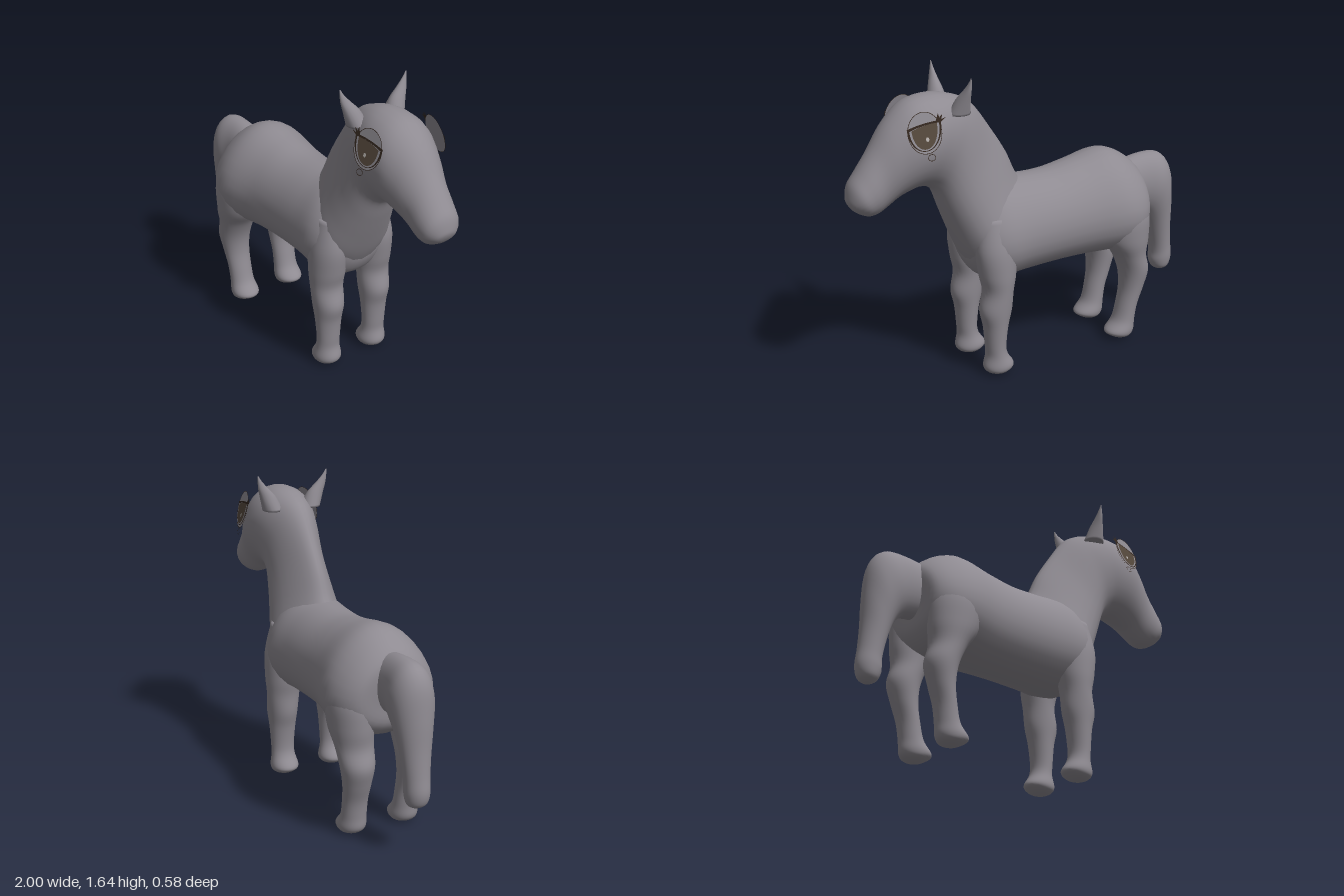
import * as THREE from 'three';

const mat = (name, color) => {
  const m = new THREE.MeshStandardMaterial({ color, side: THREE.DoubleSide });
  m.name = name;
  return m;
};

// Catmull-Rom blend of four numbers
const blend = (a, b, c, d, t) =>
  0.5 * (2 * b + (c - a) * t + (2 * a - 5 * b + 4 * c - d) * t * t + (3 * b - a - 3 * c + d) * t * t * t);

// Smooth closed skin through oval sections.
// Section: [x0, y0, x1, y1, half width, centre z, narrowing toward (x0, y0)]
function loft(sections, steps = 5, sides = 28) {
  const full = sections.map(s => [...s, 0, 0].slice(0, 7));
  const rows = [];
  const at = i => full[Math.max(0, Math.min(full.length - 1, i))];
  for (let i = 0; i < full.length - 1; i++) {
    for (let k = 0; k < steps; k++) {
      rows.push(full[i].map((v, n) => blend(at(i - 1)[n], v, at(i + 1)[n], at(i + 2)[n], k / steps)));
    }
  }
  rows.push(at(full.length - 1));
  const pos = [], index = [];
  for (const [x0, y0, x1, y1, w, z, k] of rows) {
    for (let j = 0; j < sides; j++) {
      const a = (j / sides) * Math.PI * 2, c = Math.cos(a);
      pos.push((x0 + x1) / 2 + c * (x0 - x1) / 2, (y0 + y1) / 2 + c * (y0 - y1) / 2,
        z + Math.sin(a) * w * (1 - k * c));
    }
  }
  const last = rows.length - 1;
  for (const r of [rows[0], rows[last]]) pos.push((r[0] + r[2]) / 2, (r[1] + r[3]) / 2, r[5]);
  const startCap = rows.length * sides, endCap = startCap + 1;
  for (let j = 0; j < sides; j++) {
    const n = (j + 1) % sides;
    for (let i = 0; i < last; i++) {
      const a = i * sides + j, b = i * sides + n;
      index.push(a, b, a + sides, b, b + sides, a + sides);
    }
    index.push(startCap, n, j, endCap, last * sides + j, last * sides + n);
  }
  const g = new THREE.BufferGeometry();
  g.setAttribute('position', new THREE.Float32BufferAttribute(pos, 3));
  g.setIndex(index);
  g.computeVertexNormals();
  return g;
}

export function createModel() {
  const model = new THREE.Group();
  const skin = mat('grey coat', 0x8f8b92);
  const iris = mat('brown iris', 0x55483c);
  const dark = mat('dark outline', 0x33271f);
  const shine = mat('eye shine', 0xb5b0ac);

  const add = (name, geometry, material = skin, parent = model) => {
    const mesh = new THREE.Mesh(geometry, material);
    mesh.name = name;
    parent.add(mesh);
    return mesh;
  };

  // Trunk, rump to chest
  add('body', loft([
    [-0.715, 0.88, -0.70, 0.70, 0.10],
    [-0.70, 0.96, -0.69, 0.61, 0.20, 0, 0.15],
    [-0.62, 1.035, -0.62, 0.54, 0.265, 0, 0.2],
    [-0.50, 1.08, -0.50, 0.515, 0.285, 0, 0.2],
    [-0.32, 1.05, -0.32, 0.515, 0.25, 0, 0.12],
    [-0.15, 1.025, -0.15, 0.515, 0.238, 0, 0.08],
    [0.05, 1.03, 0.05, 0.51, 0.238, 0, 0.1],
    [0.20, 1.04, 0.20, 0.505, 0.245, 0, 0.15],
    [0.30, 0.98, 0.29, 0.53, 0.215, 0, 0.1],
    [0.36, 0.88, 0.34, 0.60, 0.15],
    [0.38, 0.79, 0.36, 0.68, 0.06],
  ]));

  // Neck, head and muzzle in one sweep
  add('neckAndHead', loft([
    [-0.02, 0.95, 0.32, 0.58, 0.19, 0, 0.3],
    [0.05, 1.05, 0.38, 0.68, 0.19, 0, 0.4],
    [0.11, 1.18, 0.44, 0.81, 0.165, 0, 0.42],
    [0.20, 1.32, 0.49, 0.93, 0.148, 0, 0.35],
    [0.31, 1.465, 0.53, 1.03, 0.15, 0, 0.15],
    [0.42, 1.525, 0.575, 1.07, 0.165, 0, 0],
    [0.54, 1.547, 0.63, 1.08, 0.178, 0, -0.05],
    [0.67, 1.525, 0.69, 1.068, 0.172, 0, -0.05],
    [0.78, 1.435, 0.75, 1.045, 0.145],
    [0.87, 1.31, 0.80, 1.012, 0.12],
    [0.94, 1.215, 0.855, 0.985, 0.113],
    [0.985, 1.15, 0.91, 0.982, 0.10],
    [1.0, 1.085, 0.965, 1.01, 0.058],
    [0.997, 1.058, 0.99, 1.042, 0.012],
  ]));

  // Tail, arching back then hanging down
  add('tail', loft([
    [-0.64, 0.68, -0.64, 0.98, 0.10],
    [-0.745, 0.67, -0.77, 0.998, 0.10],
    [-0.79, 0.645, -0.89, 0.985, 0.115],
    [-0.825, 0.59, -0.955, 0.90, 0.108],
    [-0.848, 0.52, -0.975, 0.74, 0.09],
    [-0.866, 0.44, -0.98, 0.58, 0.075],
    [-0.872, 0.385, -0.99, 0.45, 0.067],
    [-0.87, 0.335, -1.0, 0.36, 0.065],
    [-0.888, 0.292, -0.985, 0.30, 0.052],
    [-0.92, 0.272, -0.95, 0.274, 0.018],
  ]));

  for (const s of [1, -1]) {
    const side = s > 0 ? 'left' : 'right';
    const mirror = rows => rows.map(r => [r[0], r[1], r[2], r[1], r[3], r[4] * s]);

    // Legs, as rows of [front x, y, back x, half width, centre z]
    // Here the mirrored sides follow world z
    add(side + 'FrontLeg', loft(mirror([
      [0.33, 0.88, 0.17, 0.06, 0.14],
      [0.36, 0.72, 0.14, 0.095, 0.145],
      [0.345, 0.58, 0.145, 0.098, 0.148],
      [0.325, 0.48, 0.163, 0.09, 0.15],
      [0.345, 0.375, 0.17, 0.083, 0.15],
      [0.325, 0.28, 0.193, 0.073, 0.15],
      [0.315, 0.17, 0.205, 0.065, 0.15],
      [0.312, 0.11, 0.195, 0.066, 0.15],
      [0.325, 0.05, 0.158, 0.076, 0.148],
      [0.31, 0.02, 0.185, 0.062, 0.148],
      [0.27, 0.002, 0.225, 0.02, 0.148],
    ])));
    add(side + 'BackLeg', loft(mirror([
      [-0.46, 0.92, -0.62, 0.06, 0.15],
      [-0.41, 0.76, -0.69, 0.115, 0.165],
      [-0.43, 0.61, -0.695, 0.115, 0.165],
      [-0.50, 0.50, -0.685, 0.10, 0.16],
      [-0.54, 0.40, -0.708, 0.09, 0.158],
      [-0.55, 0.30, -0.682, 0.076, 0.155],
      [-0.535, 0.20, -0.648, 0.068, 0.152],
      [-0.51, 0.11, -0.634, 0.068, 0.15],
      [-0.46, 0.05, -0.63, 0.076, 0.15],
      [-0.49, 0.02, -0.61, 0.062, 0.15],
      [-0.53, 0.002, -0.57, 0.02, 0.15],
    ])));

    // Pointed ears leaning outward
    add(side + 'Ear', loft(mirror([
      [0.375, 1.45, 0.49, 1.055 - 1, 0.11],
      [0.392, 1.525, 0.46, 0.045, 0.14],
      [0.402, 1.575, 0.438, 0.028, 0.17],
      [0.408, 1.615, 0.424, 0.012, 0.19],
      [0.413, 1.645, 0.416, 0.003, 0.2],
    ]), 5, 16));

    // Painted eye, drawn flat and laid against the cheek
    const eye = new THREE.Group();
    eye.name = side + 'Eye';
    const plate = (name, shape, material, z) =>
      add(name, new THREE.ShapeGeometry(shape, 24), material, eye).position.z = z;
    const oval = (x, y, rx, ry) => new THREE.Shape().absellipse(x, y, rx, ry, 0, Math.PI * 2);
    const ring = (x, y, rx, ry, t) => {
      const o = oval(x, y, rx, ry);
      o.holes.push(new THREE.Path().absellipse(x, y, rx - t, ry - t, 0, Math.PI * 2));
      return o;
    };
    const bowl = (r, top) => {
      const p = new THREE.Shape();
      p.moveTo(-r, top + 0.01);
      p.bezierCurveTo(-r, -0.055 - r * 0.75, r, -0.055 - r * 0.75, r, top - 0.012);
      p.quadraticCurveTo(0, top + 0.012, -r, top + 0.01);
      return p;
    };
    plate('eyelid', oval(0, 0.01, 0.085, 0.1), skin, 0);
    plate('eyelidOutline', ring(0, 0.01, 0.087, 0.102, 0.003), dark, 0.001);
    plate('eyeOutline', bowl(0.088, 0.05), dark, 0.002);
    plate('eyeGround', bowl(0.077, 0.04), skin, 0.003);
    plate('iris', bowl(0.066, 0.04), iris, 0.004);
    plate('eyeShine', oval(-0.008, -0.022, 0.008, 0.011), shine, 0.005);
    plate('tearOutline', ring(-0.018, -0.112, 0.02, 0.017, 0.003), dark, 0.002);
    for (const [x, y] of [[-0.115, 0.07], [-0.1, 0.088], [-0.078, 0.095]]) {
      const lash = new THREE.Shape();
      lash.moveTo(-0.085, 0.05);
      lash.lineTo(-0.06, 0.056);
      lash.lineTo(x, y);
      plate('eyelash', lash, dark, 0.003);
    }
    eye.rotation.set(-0.25, 0.16, 0);
    const holder = new THREE.Group();
    holder.name = side + 'EyeSide';
    eye.position.set(s > 0 ? 0.613 : 0.665, 1.4, 0.186);
    holder.scale.z = s;
    holder.add(eye);
    model.add(holder);
  }
  return model;
}
